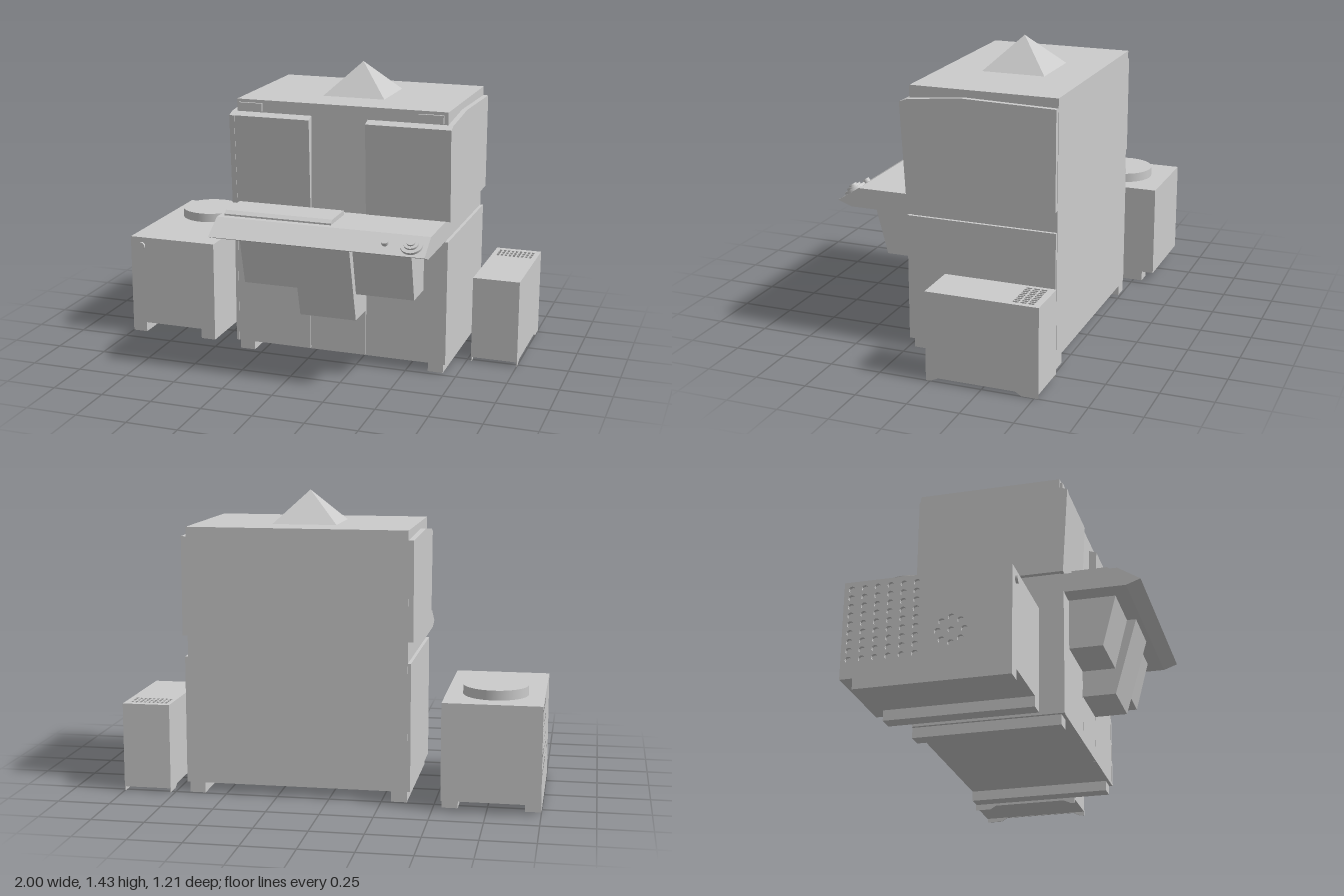
import * as THREE from 'three';

const mat = new THREE.MeshStandardMaterial({ color: 0xcccccc, flatShading: true });
const smooth = new THREE.MeshStandardMaterial({ color: 0xcccccc });

export function createModel() {
  const root = new THREE.Group();

  const add = (parent, name, geo, material = mat) => {
    const m = new THREE.Mesh(geo, material);
    m.name = name;
    parent.add(m);
    return m;
  };
  const unit = (name) => {
    const g = new THREE.Group();
    g.name = name;
    root.add(g);
    return g;
  };
  // Box given by its limits on each axis
  const box = (parent, name, x0, x1, y0, y1, z0, z1) => {
    const g = new THREE.BoxGeometry(x1 - x0, y1 - y0, z1 - z0);
    g.translate((x0 + x1) / 2, (y0 + y1) / 2, (z0 + z1) / 2);
    return add(parent, name, g);
  };
  const shapeOf = (pts) => new THREE.Shape(pts.map(([a, b]) => new THREE.Vector2(a, b)));
  // Extrudes a (z, y) profile along x
  const side = (parent, name, shape, x0, x1) => {
    const s = Array.isArray(shape) ? shapeOf(shape) : shape;
    const g = new THREE.ExtrudeGeometry(s, { depth: x1 - x0, bevelEnabled: false, curveSegments: 6 });
    g.rotateY(-Math.PI / 2).translate(x1, 0, 0);
    return add(parent, name, g);
  };

  // Main cabinet
  const main = unit('mainCabinet');
  box(main, 'core', -0.37, 0.68, 0.05, 1.28, -0.49, 0.222);
  for (const x of [-0.37, 0.605]) box(main, 'footRunner', x, x + 0.075, 0, 0.05, -0.49, 0.222);
  for (const [x0, x1] of [[-0.385, -0.37], [0.68, 0.695]])
    box(main, 'lowerSidePanel', x0, x1, 0.05, 0.663, -0.488, 0.24);
  for (const [x0, x1] of [[-0.37, 0.009], [0.012, 0.293], [0.296, 0.68]])
    box(main, 'lowerDoor', x0, x1, 0.05, 0.663, 0.222, 0.238);

  // Upper side panels and leaning front doors
  const panel = [[-0.488, 0.763], [0.24, 0.763], [0.265, 1.205], [0.222, 1.22], [-0.04, 1.245], [-0.488, 1.235]];
  const door = [[0.222, 0.763], [0.238, 0.763], [0.262, 1.205], [0.222, 1.22]];
  side(main, 'upperSidePanel', panel, -0.395, -0.37);
  side(main, 'upperSidePanel', panel, 0.68, 0.705);
  side(main, 'upperDoor', door, -0.37, 0.01);
  side(main, 'upperDoor', door, 0.29, 0.68);
  for (const x of [-0.36, 0.54]) box(main, 'hingePlate', x, x + 0.12, 1.225, 1.265, 0.222, 0.234);

  // Pyramid on the roof
  const pyramid = new THREE.ConeGeometry(0.155 * Math.SQRT2, 0.155, 4);
  pyramid.rotateY(Math.PI / 4).translate(0.155, 1.3575, -0.135);
  add(main, 'roofPyramid', pyramid);

  // Control console with sloped front
  const desk = unit('console');
  side(desk, 'deskTop', [[0.222, 0.665], [0.535, 0.665], [0.605, 0.69], [0.495, 0.76], [0.222, 0.76]], -0.37, 0.68);
  side(desk, 'keyboard', [[0.27, 0.76], [0.462, 0.76], [0.462, 0.768], [0.44, 0.782], [0.27, 0.782]], -0.345, 0.19);
  const control = (name, x, r, h) => {
    const m = add(desk, name, new THREE.CylinderGeometry(r, r, h, 28), smooth);
    m.position.set(x, 0.725, 0.55);
    m.quaternion.setFromUnitVectors(new THREE.Vector3(0, 1, 0), new THREE.Vector3(0, 0.11, 0.07).normalize());
    m.translateY(h / 2);
  };
  control('dialBase', 0.605, 0.053, 0.012);
  control('dialRing', 0.605, 0.035, 0.022);
  control('dialKnob', 0.605, 0.02, 0.03);
  control('button', 0.48, 0.017, 0.018);

  // Bins below the console
  const bin = [[0.238, 0.415], [0.40, 0.415], [0.465, 0.665], [0.238, 0.665]];
  side(main, 'sideBin', bin, -0.27, 0.015);
  side(main, 'sideBin', bin, 0.295, 0.58);
  side(main, 'centreBin', [[0.238, 0.283], [0.40, 0.283], [0.51, 0.665], [0.238, 0.665]], 0.015, 0.295);

  // Cooling unit with perforated outer side
  const cooler = unit('coolingUnit');
  box(cooler, 'coolerBody', -0.985, -0.54, 0.05, 0.51, -0.605, 0.16);
  const grille = shapeOf([[-0.605, 0.05], [0.16, 0.05], [0.16, 0.51], [-0.605, 0.51]]);
  const hole = (z, y, r) => {
    const p = new THREE.Path();
    p.absarc(z, y, r, 0, Math.PI * 2, true);
    grille.holes.push(p);
  };
  for (let i = 0; i < 6; i++)
    for (let j = 0; j < 9; j++) hole(-0.57 + i * 0.06, 0.475 - j * 0.042, 0.015);
  hole(-0.11, 0.23, 0.015);
  for (let k = 0; k < 8; k++)
    hole(-0.11 + 0.06 * Math.cos(k * Math.PI / 4), 0.23 + 0.06 * Math.sin(k * Math.PI / 4), 0.015);
  side(cooler, 'perforatedSide', grille, -1, -0.985);
  for (const x of [-1, -0.615]) box(cooler, 'footRunner', x, x + 0.075, 0, 0.05, -0.545, 0.16);
  const fan = new THREE.CylinderGeometry(0.153, 0.153, 0.047, 48);
  fan.translate(-0.77, 0.5325, -0.36);
  add(cooler, 'fanCover', fan, smooth);
  const knob = new THREE.CylinderGeometry(0.02, 0.02, 0.012, 20);
  knob.rotateX(Math.PI / 2).translate(-0.94, 0.465, 0.166);
  add(cooler, 'frontKnob', knob, smooth);

  // Small supply unit with vented top and arched side plates
  const supply = unit('supplyUnit');
  box(supply, 'supplyBody', 0.775, 0.995, 0.02, 0.418, -0.52, 0.02);
  const plate = [[-0.52, 0], [-0.44, 0], [-0.41, 0.018], [-0.04, 0.018], [0, 0], [0.02, 0], [0.02, 0.43], [-0.52, 0.43]];
  side(supply, 'sidePlate', plate, 0.77, 0.775);
  side(supply, 'sidePlate', plate, 0.995, 1);
  const lid = shapeOf([[0.775, -0.02], [0.995, -0.02], [0.995, 0.52], [0.775, 0.52]]);
  for (let i = 0; i < 9; i++)
    for (let j = 0; j < 3; j++) {
      const x = 0.792 + i * 0.021, z = 0.385 + j * 0.036;
      lid.holes.push(new THREE.Path([[x, z], [x, z + 0.03], [x + 0.014, z + 0.03], [x + 0.014, z]].map(([a, b]) => new THREE.Vector2(a, b))));
    }
  const lidGeo = new THREE.ExtrudeGeometry(lid, { depth: 0.012, bevelEnabled: false });
  lidGeo.rotateX(-Math.PI / 2).translate(0, 0.418, 0);
  add(supply, 'ventedLid', lidGeo);

  return root;
}
